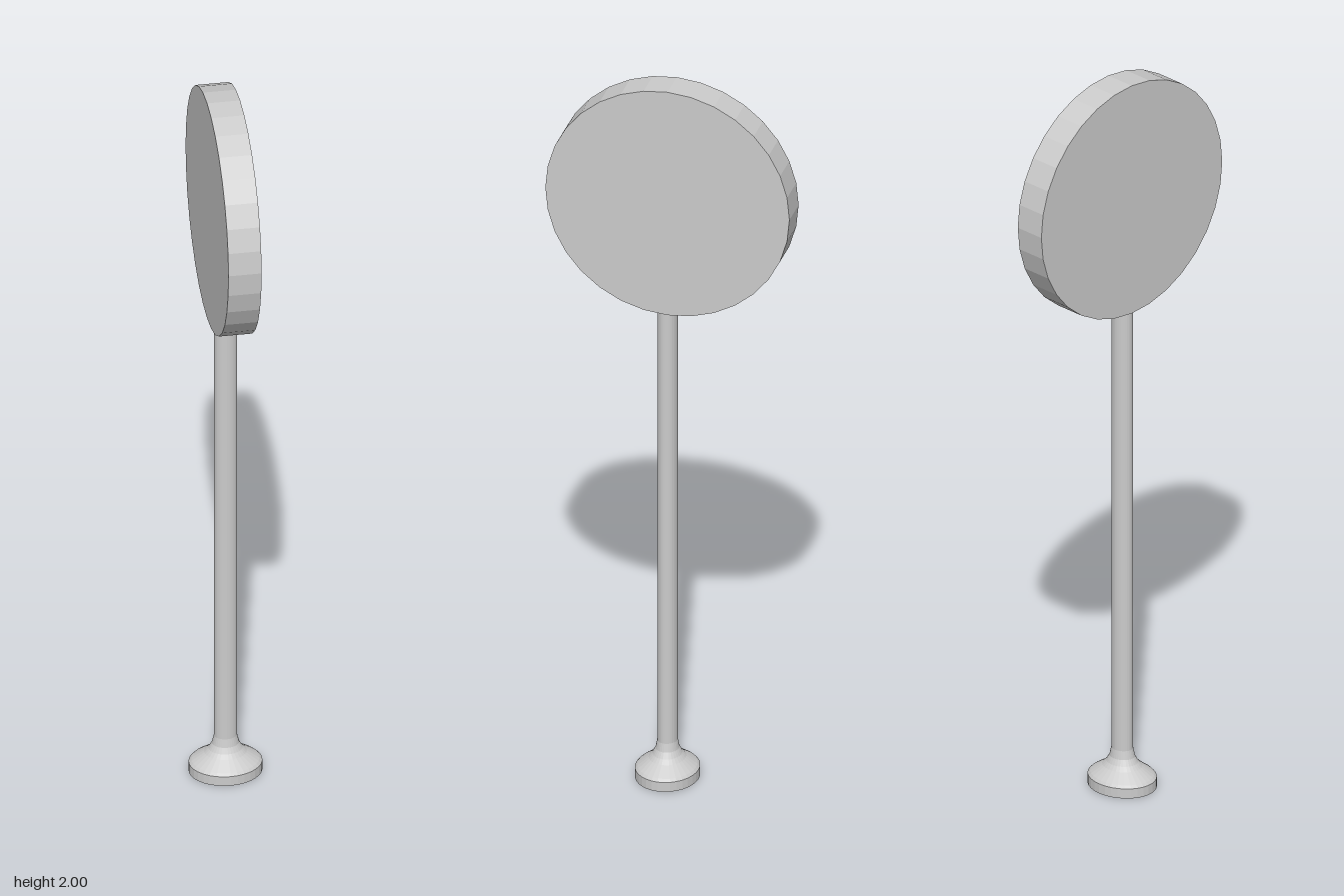
import * as THREE from 'three';

const SIDES = 32;

export function createModel() {
  const material = new THREE.MeshStandardMaterial({ color: 0xcccccc, flatShading: true });
  const model = new THREE.Group();
  model.name = 'roundSign';
  model.rotation.y = -Math.PI / 6;

  const add = (name, geometry, x, y, z) => {
    const mesh = new THREE.Mesh(geometry, material);
    mesh.name = name;
    mesh.position.set(x, y, z);
    model.add(mesh);
    return mesh;
  };

  // Round sign panel, facing its local +z
  const panel = new THREE.CylinderGeometry(0.325, 0.325, 0.086, SIDES).rotateX(Math.PI / 2);
  add('signPanel', panel, 0, 1.677, 0).scale.y = 0.323 / 0.325;

  // Slightly oval post, ending inside the panel
  const post = add('post', new THREE.CylinderGeometry(0.03, 0.03, 1.3, SIDES), 0.011, 0.74, -0.003);

  // Flared foot: flat rim, sloping shoulder, concave neck up to the post
  const profile = [
    [0, 0], [0.095, 0], [0.095, 0.027], [0.088, 0.034], [0.055, 0.056],
    [0.044, 0.067], [0.035, 0.082], [0.03, 0.105], [0, 0.105],
  ].map(([r, y]) => new THREE.Vector2(r, y));
  const foot = add('foot', new THREE.LatheGeometry(profile, SIDES), 0.011, 0, -0.003);

  for (const part of [post, foot]) part.scale.x = 0.87;

  return model;
}
